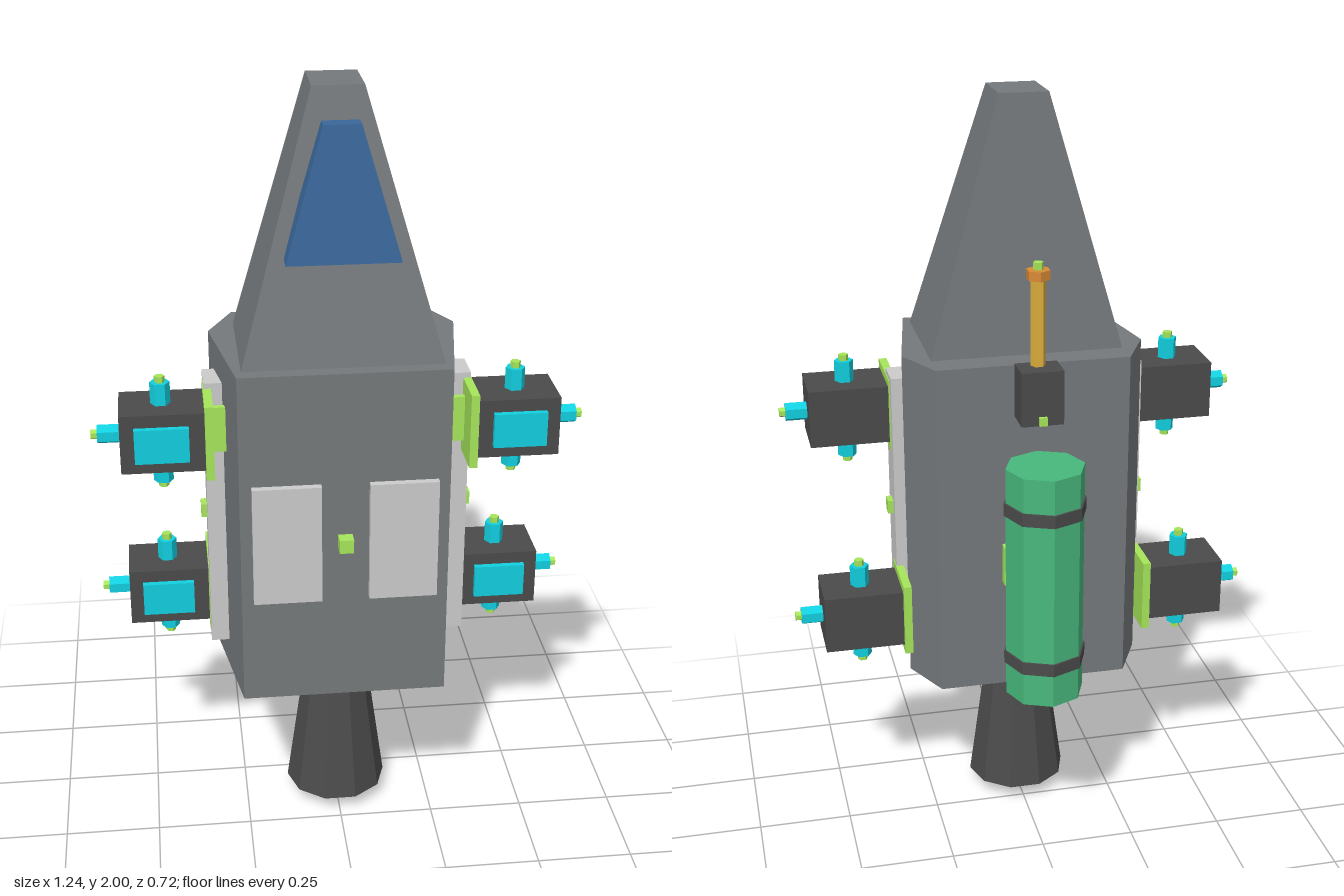
import * as THREE from 'three';

const mat = (color) => new THREE.MeshStandardMaterial({ color, flatShading: true });
const M = {
  hull: mat(0x75797b), dark: mat(0x4b4b4c), panel: mat(0xcccccc), glass: mat(0x3a6799),
  cyan: mat(0x12d0e0), lime: mat(0xa6e65a), tank: mat(0x48b87c), gold: mat(0xdcae3c), orange: mat(0xd98a35),
};

function add(parent, name, geometry, material, x = 0, y = 0, z = 0) {
  const mesh = new THREE.Mesh(geometry, material);
  mesh.name = name;
  mesh.position.set(x, y, z);
  parent.add(mesh);
  return mesh;
}

// Box given by its limits on each axis
function box(parent, name, material, [x0, x1], [y0, y1], [z0, z1]) {
  return add(parent, name, new THREE.BoxGeometry(x1 - x0, y1 - y0, z1 - z0), material,
    (x0 + x1) / 2, (y0 + y1) / 2, (z0 + z1) / 2);
}

// Upright faceted cylinder from y0 to y1
function drum(parent, name, material, rBottom, rTop, y0, y1, sides, x, z, turn = 0) {
  const geo = new THREE.CylinderGeometry(rTop, rBottom, y1 - y0, sides).rotateY(turn);
  return add(parent, name, geo, material, x, (y0 + y1) / 2, z);
}

// Solid between two [x, z] outlines, listed front left, front right, back right, back left
function loft(bottom, y0, top, y1) {
  const n = bottom.length, pos = [];
  const b = (i) => [bottom[i % n][0], y0, bottom[i % n][1]];
  const t = (i) => [top[i % n][0], y1, top[i % n][1]];
  for (let i = 0; i < n; i++) {
    pos.push(...b(i), ...b(i + 1), ...t(i + 1), ...b(i), ...t(i + 1), ...t(i));
    if (i > 0 && i < n - 1) pos.push(...t(0), ...t(i), ...t(i + 1), ...b(0), ...b(i + 1), ...b(i));
  }
  const geo = new THREE.BufferGeometry();
  geo.setAttribute('position', new THREE.Float32BufferAttribute(pos, 3));
  geo.computeVertexNormals();
  return geo;
}

const rect = (w, front, back) => [[-w, front], [w, front], [w, back], [-w, back]];

// Small hexagonal jet with a lime tip, pointing up its own y axis
function jet(parent, name) {
  const g = new THREE.Group();
  g.name = name;
  drum(g, 'jetBarrel', M.cyan, 0.025, 0.025, -0.01, 0.056, 6, 0, 0, Math.PI / 6);
  drum(g, 'jetTip', M.lime, 0.013, 0.013, 0.056, 0.072, 6, 0, 0, Math.PI / 6);
  parent.add(g);
  return g;
}

// Thruster pod on the side s (+1 left, -1 right)
function thrusterPod(s, y, z, name) {
  const g = new THREE.Group();
  g.name = name;
  g.position.set(0, y, z);
  const span = (a, b) => (s > 0 ? [a, b] : [-b, -a]);
  box(g, 'podBody', M.dark, span(0.338, 0.546), [-0.077, 0.077], [-0.078, 0.078]);
  box(g, 'mountPlate', M.lime, span(0.317, 0.338), [-0.098, 0.098], [-0.092, 0.092]);
  box(g, 'mountArm', M.lime, span(0.27, 0.32), [-0.06, 0.06], [-0.008, 0.008]);
  box(g, 'podWindow', M.cyan, span(0.377, 0.511), [-0.045, 0.045], [0.07, 0.094]);
  jet(g, 'topJet').position.set(s * 0.443, 0.077, 0);
  const low = jet(g, 'bottomJet');
  low.position.set(s * 0.443, -0.077, 0);
  low.rotation.z = Math.PI;
  const side = jet(g, 'sideJet');
  side.position.set(s * 0.546, 0, 0);
  side.rotation.z = -s * Math.PI / 2;
  // put the corners of the side jet above and below
  return g;
}

export function createModel() {
  const model = new THREE.Group();
  model.name = 'spacecraft';

  // Six-sided hull and tapered nose
  const plan = [[-0.262, 0.322], [0.262, 0.322], [0.315, 0.003], [0.25, -0.127], [-0.25, -0.127], [-0.315, 0.003]];
  add(model, 'hull', loft(plan, 0.45, plan, 1.35), M.hull);
  add(model, 'nose', loft(rect(0.25, 0.285, -0.053), 1.345, rect(0.063, 0.147, -0.008), 2), M.hull);
  add(model, 'windshield', loft(rect(0.138, 0.284, 0.2), 1.61, rect(0.045, 0.24, 0.197), 1.93), M.glass);
  // Filler that seats the windshield on the sloping nose
  add(model, 'windshieldSeat', loft(rect(0.138, 0.21, 0.18), 1.61, rect(0.1, 0.205, 0.17), 1.74), M.glass);

  // Front panels and port
  for (const s of [-1, 1]) {
    const x = s * 0.146;
    box(model, 'frontPanel', M.panel, [x - 0.086, x + 0.086], [0.74, 1.06], [0.31, 0.341]);
  }
  box(model, 'frontPort', M.lime, [-0.018, 0.018], [0.882, 0.918], [0.31, 0.357]);
  box(model, 'rearPort', M.lime, [-0.018, 0.018], [0.882, 0.918], [-0.158, -0.12]);

  // Side rails with ports, and two pods on each side
  for (const s of [-1, 1]) {
    const span = (a, b) => (s > 0 ? [a, b] : [-b, -a]);
    box(model, 'sideRail', M.panel, span(0.285, 0.336), [0.53, 1.27], [0.06, 0.155]);
    box(model, 'sidePort', M.lime, span(0.32, 0.351), [0.882, 0.918], [0.085, 0.121]);
    model.add(thrusterPod(s, 1.158, 0.18, 'upperPod'), thrusterPod(s, 0.638, 0.018, 'lowerPod'));
  }

  // Main engine
  const ez = 0.102, turn = Math.PI / 10;
  drum(model, 'engineCollar', M.panel, 0.104, 0.104, 0.375, 0.455, 10, 0, ez, turn);
  drum(model, 'engineBell', M.dark, 0.135, 0.089, 0.045, 0.378, 10, 0, ez, turn);
  drum(model, 'engineGlow', M.orange, 0.1, 0.1, 0.026, 0.05, 10, 0, ez, turn);
  drum(model, 'engineTip', M.lime, 0.02, 0.02, 0, 0.03, 6, 0, ez, Math.PI / 6);

  // Rear tank with two straps and a bracket
  const tz = -0.253;
  drum(model, 'tank', M.tank, 0.102, 0.102, 0.495, 1.125, 8, 0, tz);
  for (const y of [0.602, 1.017]) drum(model, 'tankStrap', M.dark, 0.107, 0.107, y - 0.017, y + 0.017, 8, 0, tz);
  box(model, 'tankBracket', M.lime, [-0.084, 0.084], [0.755, 0.862], [-0.155, -0.125]);

  // Rear antenna
  const az = -0.167;
  box(model, 'antennaBase', M.dark, [-0.054, 0.054], [1.22, 1.36], [-0.224, -0.143]);
  box(model, 'antennaPlug', M.lime, [-0.01, 0.01], [1.222, 1.244], [-0.233, -0.215]);
  drum(model, 'antennaRod', M.gold, 0.019, 0.019, 1.355, 1.585, 6, 0, az, Math.PI / 6);
  drum(model, 'antennaCap', M.orange, 0.031, 0.031, 1.58, 1.604, 6, 0, az);
  drum(model, 'antennaTip', M.lime, 0.013, 0.013, 1.6, 1.623, 6, 0, az, Math.PI / 6);

  return model;
}
